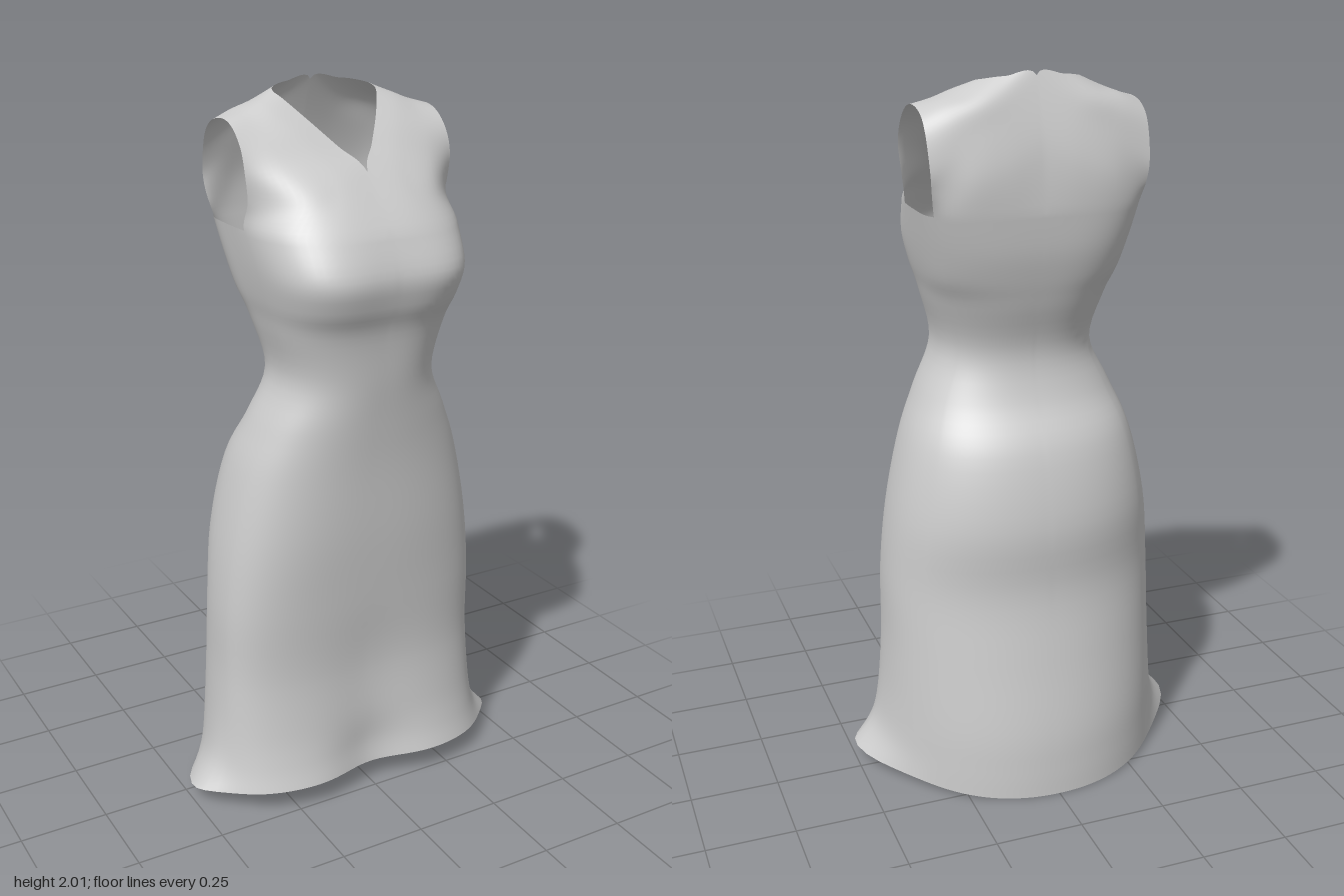
import * as THREE from 'three';
import { mergeGeometries, mergeVertices } from 'three/addons/utils/BufferGeometryUtils.js';

// Body sections from hem to underarm:
// [y, halfWidth, frontZ, backZ, sideZ, frontSquareness, backSquareness, sideFlare, frontDip]
const SECTIONS = [
  [0.00, 0.42, 0.275, -0.338, 0.06, 3.0, 2.1, 0.08, 0.05],
  [0.08, 0.415, 0.255, -0.335, 0.05, 3.0, 2.1, 0.03, 0.04],
  [0.20, 0.41, 0.235, -0.325, 0.04, 3.0, 2.1, 0.01, 0.02],
  [0.40, 0.405, 0.218, -0.29, 0.03, 3.0, 2.1, 0, 0.01],
  [0.60, 0.40, 0.225, -0.26, 0.03, 3.0, 2.1, 0, 0],
  [0.80, 0.378, 0.24, -0.265, 0.03, 2.8, 2.2, 0, 0],
  [1.00, 0.333, 0.25, -0.22, 0.04, 2.6, 2.3, 0, 0],
  [1.13, 0.28, 0.262, -0.145, 0.06, 2.5, 2.3, 0, 0],
  [1.26, 0.223, 0.278, -0.115, 0.07, 2.5, 2.4, 0, 0],
  [1.40, 0.25, 0.30, -0.155, 0.05, 2.8, 2.6, 0, 0.005],
  [1.48, 0.272, 0.333, -0.178, 0.02, 3.2, 3.0, 0, 0.012],
  [1.56, 0.288, 0.345, -0.195, 0.0, 3.4, 3.4, 0, 0.015],
  [1.66, 0.303, 0.295, -0.205, -0.04, 3.0, 4.0, 0, 0.005],
];

// Yoke lines, each from neckline or centre line out to the armhole
const YOKE_FRONT = [
  [[0, 1.8, 0.175], [0.1, 1.77, 0.2], [0.2, 1.74, 0.195], [0.3, 1.735, 0.088]],
  [[0.05, 1.86, 0.11], [0.13, 1.845, 0.122], [0.22, 1.82, 0.125], [0.307, 1.81, 0.09]],
  [[0.1, 1.92, 0.045], [0.16, 1.905, 0.06], [0.235, 1.885, 0.068], [0.307, 1.87, 0.068]],
  [[0.14, 1.97, -0.02], [0.19, 1.95, 0], [0.25, 1.93, 0.008], [0.306, 1.915, 0.02]],
  [[0.148, 1.985, -0.06], [0.2, 1.965, -0.045], [0.25, 1.945, -0.04], [0.305, 1.93, -0.04]],
];
const YOKE_BACK = [
  [[0.13, 1.993, -0.095], [0.19, 1.96, -0.11], [0.25, 1.94, -0.11], [0.305, 1.915, -0.11]],
  [[0.08, 2, -0.12], [0.15, 1.945, -0.152], [0.23, 1.91, -0.155], [0.305, 1.87, -0.153]],
  [[0, 2, -0.132], [0.1, 1.9, -0.17], [0.2, 1.85, -0.178], [0.302, 1.78, -0.178]],
  [[0, 1.83, -0.187], [0.1, 1.78, -0.2], [0.2, 1.75, -0.198], [0.297, 1.72, -0.172]],
];

const ARM_FRONT = 1.27, ARM_BACK = 2.19; // angles of the armhole's lower corners
const PANEL = 20, SIDE = 8;              // columns per panel and under the arm

// Smooth curve through rows of numbers, t counted in rows
function spline(rows, t) {
  const last = rows.length - 1;
  const i = Math.min(Math.floor(t), last - 1), f = t - i;
  const at = (k) => rows[Math.max(0, Math.min(last, k))];
  const [a, b, c, d] = [at(i - 1), at(i), at(i + 1), at(i + 2)];
  return b.map((p, k) => {
    const m0 = (c[k] - a[k]) / 2, m1 = (d[k] - p) / 2, e = c[k] - p;
    return p + f * (m0 + f * (3 * e - 2 * m0 - m1 + f * (m0 + m1 - 2 * e)));
  });
}

// Point on the body: t along the sections, angle 0 = centre front, PI = centre back
function bodyPoint(t, angle) {
  const [y, hw, zf, zb, zc, nf, nb, flare, dip] = spline(SECTIONS, t);
  const s = Math.sin(angle), c = Math.cos(angle), n = c > 0 ? nf : nb;
  const r = Math.pow(Math.abs(s) ** n + Math.abs(c) ** n, -1 / n);
  const x = hw * s * r + flare * Math.abs(s) ** 12;
  let z = zc + (c > 0 ? zf - zc : zc - zb) * c * r;
  if (c > 0) z -= dip * Math.exp(-((x / 0.13) ** 2));
  // the hem dips towards the back
  const hem = Math.max(0, 1 - y / 0.4) * (0.04 + 0.12 * z);
  return [x, y + hem, z];
}

const frontAngle = (s) => ARM_FRONT * s;
const backAngle = (s) => Math.PI - (Math.PI - ARM_BACK) * s;

function bodyAngle(j) {
  if (j <= PANEL) return frontAngle(j / PANEL);
  if (j < PANEL + SIDE) return ARM_FRONT + (ARM_BACK - ARM_FRONT) * (j - PANEL) / SIDE;
  return backAngle((2 * PANEL + SIDE - j) / PANEL);
}

// Yoke point: s from centre to armhole, t from front chest over the shoulder to the back
function yokePoint(s, t) {
  const top = SECTIONS.length - 1;
  const across = (line) => spline(line, s * (line.length - 1));
  const rows = [
    bodyPoint(top - 1, frontAngle(s)), bodyPoint(top, frontAngle(s)),
    ...YOKE_FRONT.map(across), ...YOKE_BACK.map(across),
    bodyPoint(top, backAngle(s)), bodyPoint(top - 1, backAngle(s)),
  ];
  const p = spline(rows, 1 + t * (rows.length - 3));
  p[0] = Math.max(0, p[0]);
  return p;
}

// Grid surface for one half; side = -1 mirrors it
function gridGeometry(rows, cols, point, side) {
  const pos = [], index = [];
  for (let i = 0; i <= rows; i++) {
    for (let j = 0; j <= cols; j++) {
      const [x, y, z] = point(i, j);
      pos.push(side * x, y, z);
      if (i === rows || j === cols) continue;
      const a = i * (cols + 1) + j, b = a + 1, d = a + cols + 1, c = d + 1;
      if (side > 0) index.push(a, b, d, b, c, d);
      else index.push(a, d, b, b, d, c);
    }
  }
  const g = new THREE.BufferGeometry();
  g.setAttribute('position', new THREE.Float32BufferAttribute(pos, 3));
  g.setIndex(index);
  return g;
}

export function createModel() {
  const group = new THREE.Group();
  group.name = 'sleevelessDress';
  const bodyRows = (SECTIONS.length - 1) * 5, yokeRows = 60;
  const parts = [];
  for (const side of [1, -1]) {
    // skirt and bodice up to the underarm
    parts.push(gridGeometry(bodyRows, 2 * PANEL + SIDE,
      (i, j) => bodyPoint(i / 5, bodyAngle(j)), side));
    // chest, shoulder and upper back around neckline and armhole
    parts.push(gridGeometry(yokeRows, PANEL,
      (i, j) => yokePoint(j / PANEL, i / yokeRows), side));
  }
  // weld the halves so the cloth shades as one smooth piece
  const geometry = mergeVertices(mergeGeometries(parts), 1e-4);
  geometry.computeVertexNormals();
  const cloth = new THREE.MeshStandardMaterial({ color: 0xcccccc, side: THREE.DoubleSide });
  const dress = new THREE.Mesh(geometry, cloth);
  dress.name = 'dressCloth';
  group.add(dress);
  return group;
}
